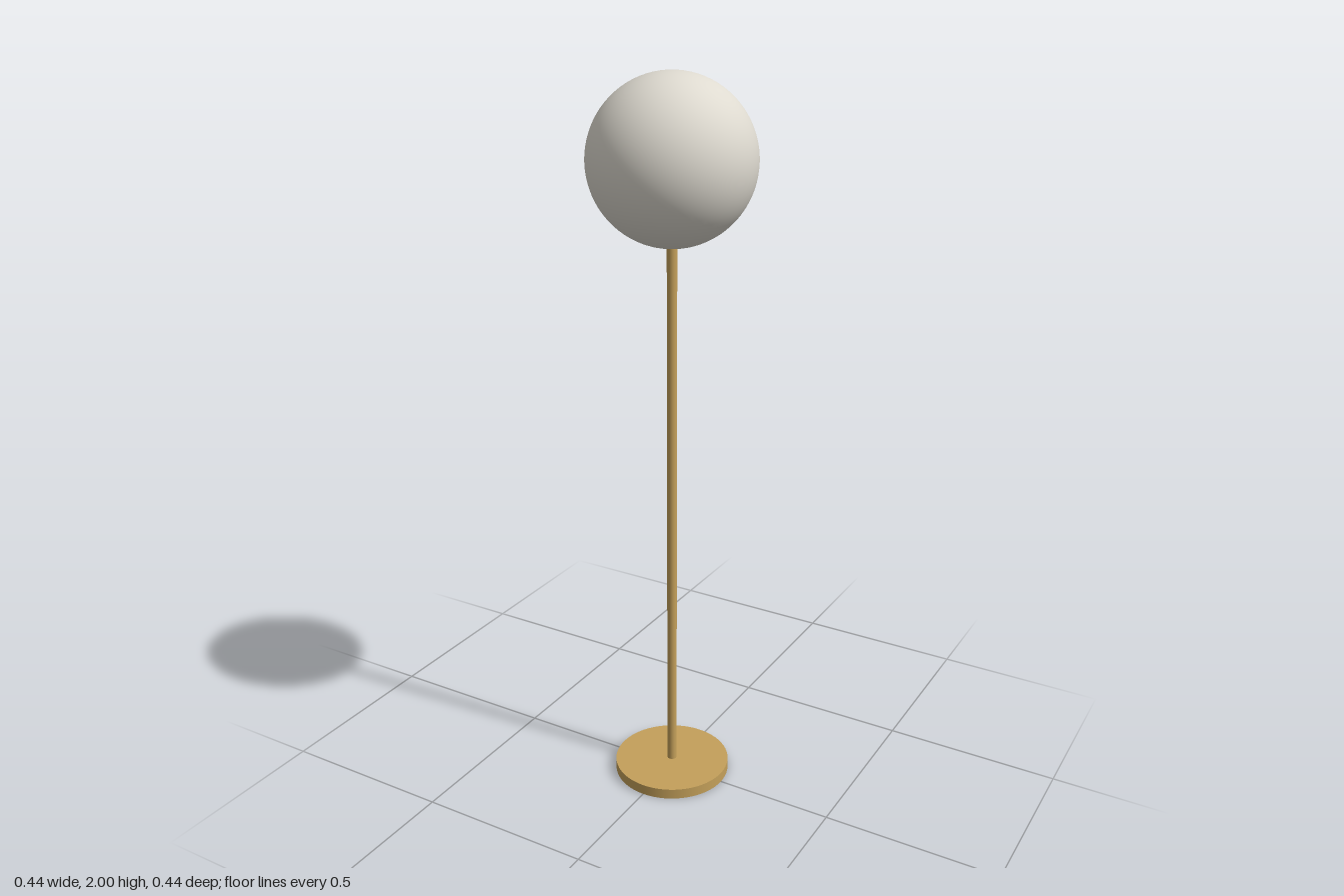
import * as THREE from 'three';

export function createModel() {
  const lamp = new THREE.Group();
  lamp.name = 'floorLamp';

  const brass = new THREE.MeshStandardMaterial({ color: 0xc4a05a });
  brass.name = 'brass';
  const opal = new THREE.MeshStandardMaterial({ color: 0xdedad0 });
  opal.name = 'opal glass';

  const add = (name, geometry, material, y) => {
    const mesh = new THREE.Mesh(geometry, material);
    mesh.name = name;
    mesh.position.y = y;
    lamp.add(mesh);
  };

  const baseHeight = 0.03;
  const globeRadius = 0.218;
  const globeY = 2 - globeRadius;
  const poleTop = globeY - globeRadius + 0.02; // tucked into the globe

  // Round foot
  add('base', new THREE.CylinderGeometry(0.165, 0.165, baseHeight, 64), brass, baseHeight / 2);
  // Slim upright
  add('pole', new THREE.CylinderGeometry(0.0135, 0.0135, poleTop - baseHeight, 24), brass, (poleTop + baseHeight) / 2);
  // Globe shade
  add('globe', new THREE.SphereGeometry(globeRadius, 64, 40), opal, globeY);

  return lamp;
}
